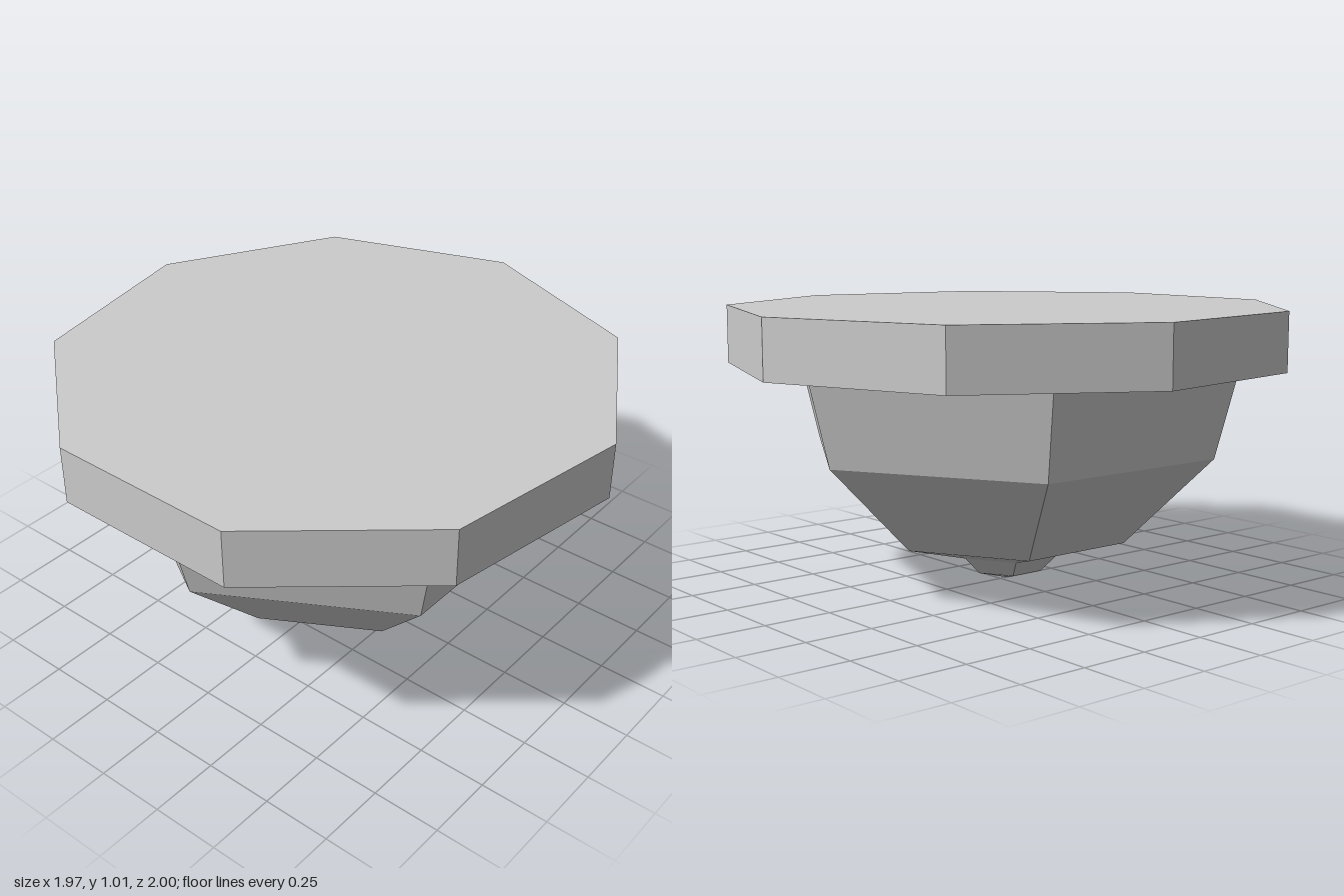
import * as THREE from 'three';

const material = new THREE.MeshStandardMaterial({ color: 0xcccccc, flatShading: true });

// Faceted solid of revolution with one corner pointing to +x; profile runs bottom to top
function faceted(name, profile, sides) {
  const points = profile.map(([r, y]) => new THREE.Vector2(r, y));
  const mesh = new THREE.Mesh(new THREE.LatheGeometry(points, sides, Math.PI / 2), material);
  mesh.name = name;
  return mesh;
}

export function createModel() {
  const group = new THREE.Group();
  group.name = 'ceilingLamp';

  // Nine-sided mounting plate
  const plate = new THREE.Mesh(
    new THREE.CylinderGeometry(1.0154, 1.0154, 0.21, 9, 1, false, Math.PI / 2), material);
  plate.name = 'mountingPlate';
  plate.position.y = 0.905;

  // Six-sided bowl shade
  const shade = faceted('shade', [[0.195, 0.1], [0.447, 0.165], [0.77, 0.49], [0.85, 0.8]], 6);

  // Six-sided finial under the shade
  const finial = faceted('finial', [[0, 0], [0.132, 0.036], [0.195, 0.1]], 6);

  group.add(plate, shade, finial);
  // The odd-sided plate is centred by its extents, so the axis sits off x = 0
  for (const part of group.children) part.position.x = -0.031;
  return group;
}
